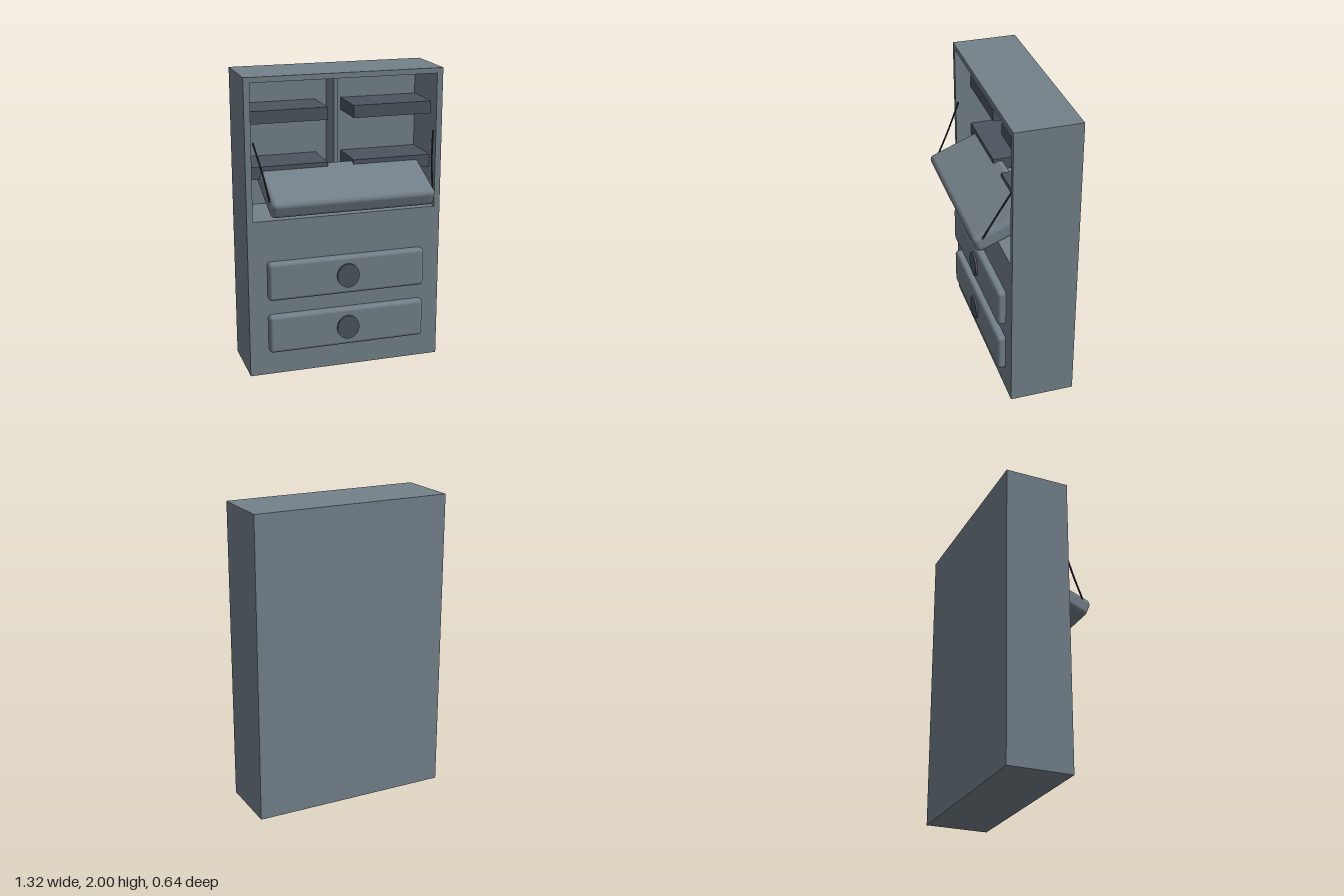
import * as THREE from 'three';
import { RoundedBoxGeometry } from 'three/addons/geometries/RoundedBoxGeometry.js';

const material = (name, color) => {
  const m = new THREE.MeshStandardMaterial({ color });
  m.name = name;
  return m;
};

export function createModel() {
  const group = new THREE.Group();
  const wood = material('greyWood', 0x74818a);
  const dark = material('darkGrey', 0x4b555f);
  const cord = material('cord', 0x242b30);

  const add = (name, geometry, mat, x = 0, y = 0, z = 0) => {
    const mesh = new THREE.Mesh(geometry, mat);
    mesh.name = name;
    mesh.position.set(x, y, z);
    group.add(mesh);
    return mesh;
  };
  // Box given by its limits on each axis
  const box = (name, mat, x0, x1, y0, y1, z0, z1) =>
    add(name, new THREE.BoxGeometry(x1 - x0, y1 - y0, z1 - z0), mat,
      (x0 + x1) / 2, (y0 + y1) / 2, (z0 + z1) / 2);

  const W = 0.66, IN = 0.62, BACK = -0.325, FRONT = 0.105, MID = 1.07;

  // Lower chest and open upper cabinet
  box('lowerChest', wood, -W, W, 0, MID, BACK, FRONT);
  box('topPanel', wood, -IN, IN, 1.965, 2, BACK, FRONT);
  box('backPanel', wood, -IN, IN, MID, 1.965, BACK, -0.295);
  box('divider', wood, -0.013, 0.013, MID, 1.965, -0.295, -0.11);

  // Drawers with round knobs
  for (const y of [0.298, 0.665]) {
    add('drawerFront', new RoundedBoxGeometry(1.07, 0.26, 0.07, 4, 0.024), wood, 0, y, 0.125);
    const knob = add('drawerKnob', new THREE.CylinderGeometry(0.076, 0.076, 0.022, 32), dark, 0, y, 0.163);
    knob.rotation.x = Math.PI / 2;
    knob.scale.z = 1.08;
  }

  // Sloping fold-down writing flap
  const flap = add('writingFlap', new RoundedBoxGeometry(1.09, 0.12, 0.42, 5, 0.035), wood, 0, 1.263, 0.1125);
  flap.rotation.x = 0.384;

  // Mirrored sides, shelves and flap cords
  for (const s of [-1, 1]) {
    const c = s * (W + IN) / 2;
    box('sidePanel', wood, c - 0.02, c + 0.02, MID, 2, BACK, FRONT);
    for (const y of [1.32, 1.682]) {
      const x = s * 0.354;
      box('shelf', dark, x - 0.266, x + 0.266, y, y + 0.083, -0.295, 0);
    }
    const path = new THREE.CatmullRomCurve3([
      new THREE.Vector3(s * 0.605, 1.585, 0.09),
      new THREE.Vector3(s * 0.566, 1.4, 0.178),
      new THREE.Vector3(s * 0.543, 1.24, 0.258),
    ]);
    add('flapCord', new THREE.TubeGeometry(path, 12, 0.006, 8), cord);
  }
  return group;
}
